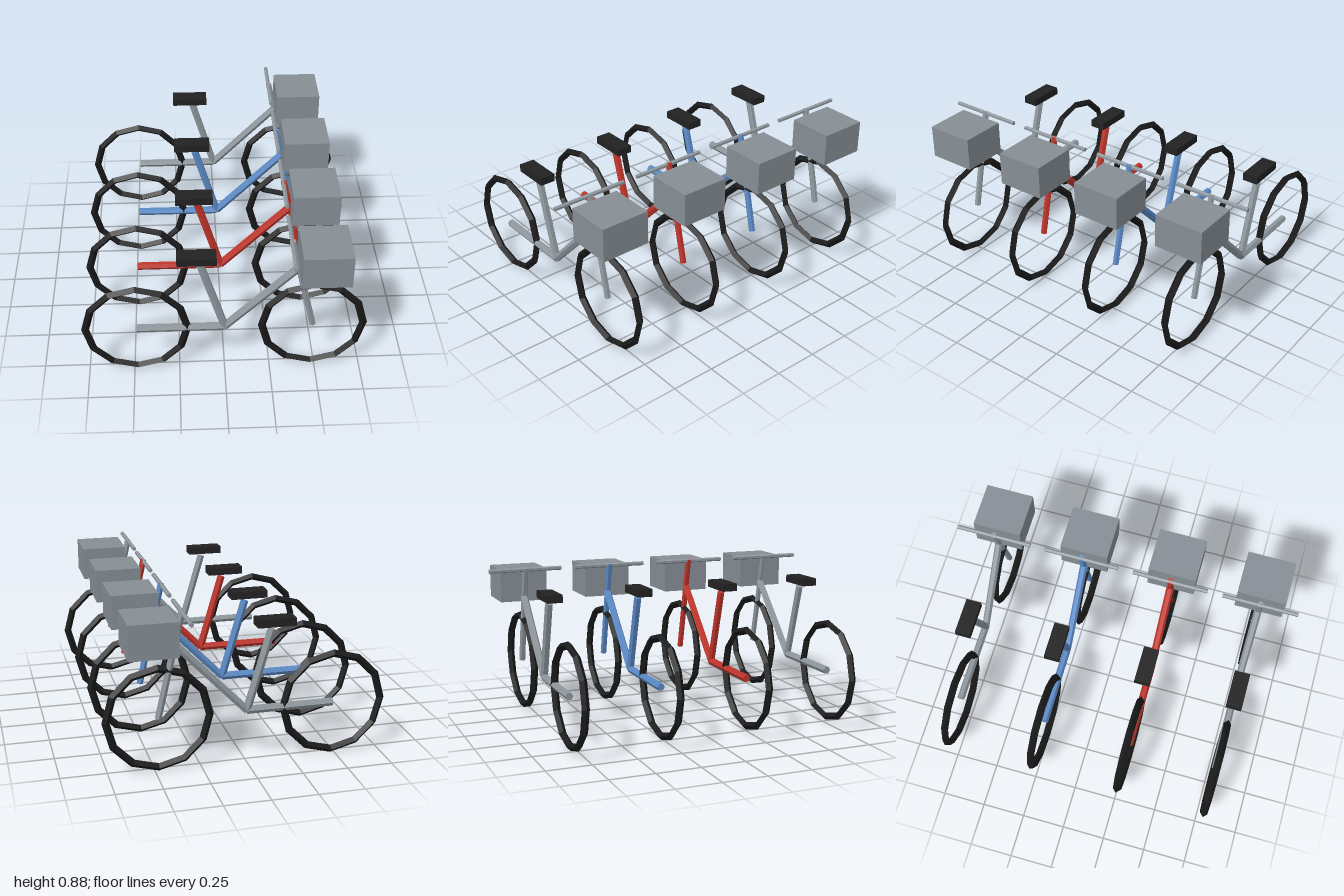
import * as THREE from 'three';

const flat = (name, color) => {
  const m = new THREE.MeshStandardMaterial({ color });
  m.name = name;
  m.flatShading = true;
  return m;
};

export function createModel() {
  const steel = flat('steel grey', 0x8f989e);
  const basketGrey = flat('basket grey', 0x868e95);
  const blue = flat('frame blue', 0x5b8ac6);
  const red = flat('frame red', 0xc0352b);
  const rubber = flat('tyre black', 0x1a1a1a);
  const saddleBlack = flat('saddle black', 0x222222);

  const add = (parent, name, geometry, material, x, y, z = 0) => {
    const mesh = new THREE.Mesh(geometry, material);
    mesh.name = name;
    mesh.position.set(x, y, z);
    parent.add(mesh);
    return mesh;
  };

  // Six-sided tube between two points in the plane of the bicycle
  const tube = (parent, name, [x1, y1], [x2, y2], radius, material) => {
    const dx = x2 - x1, dy = y2 - y1;
    const geometry = new THREE.CylinderGeometry(radius, radius, Math.hypot(dx, dy), 6);
    const mesh = add(parent, name, geometry, material, (x1 + x2) / 2, (y1 + y2) / 2);
    mesh.rotation.z = Math.atan2(dy, dx) - Math.PI / 2;
  };

  const axleY = 0.306;
  const tyre = new THREE.TorusGeometry(0.277, 0.0215, 4, 12);

  const makeBicycle = (frame) => {
    const bike = new THREE.Group();
    bike.name = 'bicycle';

    // Wheels
    add(bike, 'rearWheel', tyre, rubber, -0.479, axleY);
    add(bike, 'frontWheel', tyre, rubber, 0.479, axleY);

    // Frame
    tube(bike, 'chainStay', [-0.479, axleY], [0, axleY], 0.0222, frame);
    tube(bike, 'seatTube', [0, axleY], [-0.131, 0.75], 0.0222, frame);
    tube(bike, 'downTube', [0, axleY], [0.389, 0.708], 0.0222, frame);
    tube(bike, 'fork', [0.479, axleY], [0.348, 0.883], 0.0185, frame);

    // Saddle, handlebar and basket
    add(bike, 'saddle', new THREE.BoxGeometry(0.208, 0.043, 0.087), saddleBlack, -0.148, 0.791);
    const bar = add(bike, 'handlebar', new THREE.CylinderGeometry(0.0122, 0.0122, 0.435, 6), steel, 0.347, 0.874);
    bar.rotation.x = Math.PI / 2;
    add(bike, 'basket', new THREE.BoxGeometry(0.261, 0.19, 0.278), basketGrey, 0.522, 0.776);
    return bike;
  };

  // Row of four parked bicycles
  const group = new THREE.Group();
  group.name = 'bicycleRow';
  [steel, blue, red, steel].forEach((frame, i) => {
    const bike = makeBicycle(frame);
    bike.position.z = (i - 1.5) * 0.5217;
    group.add(bike);
  });
  return group;
}
